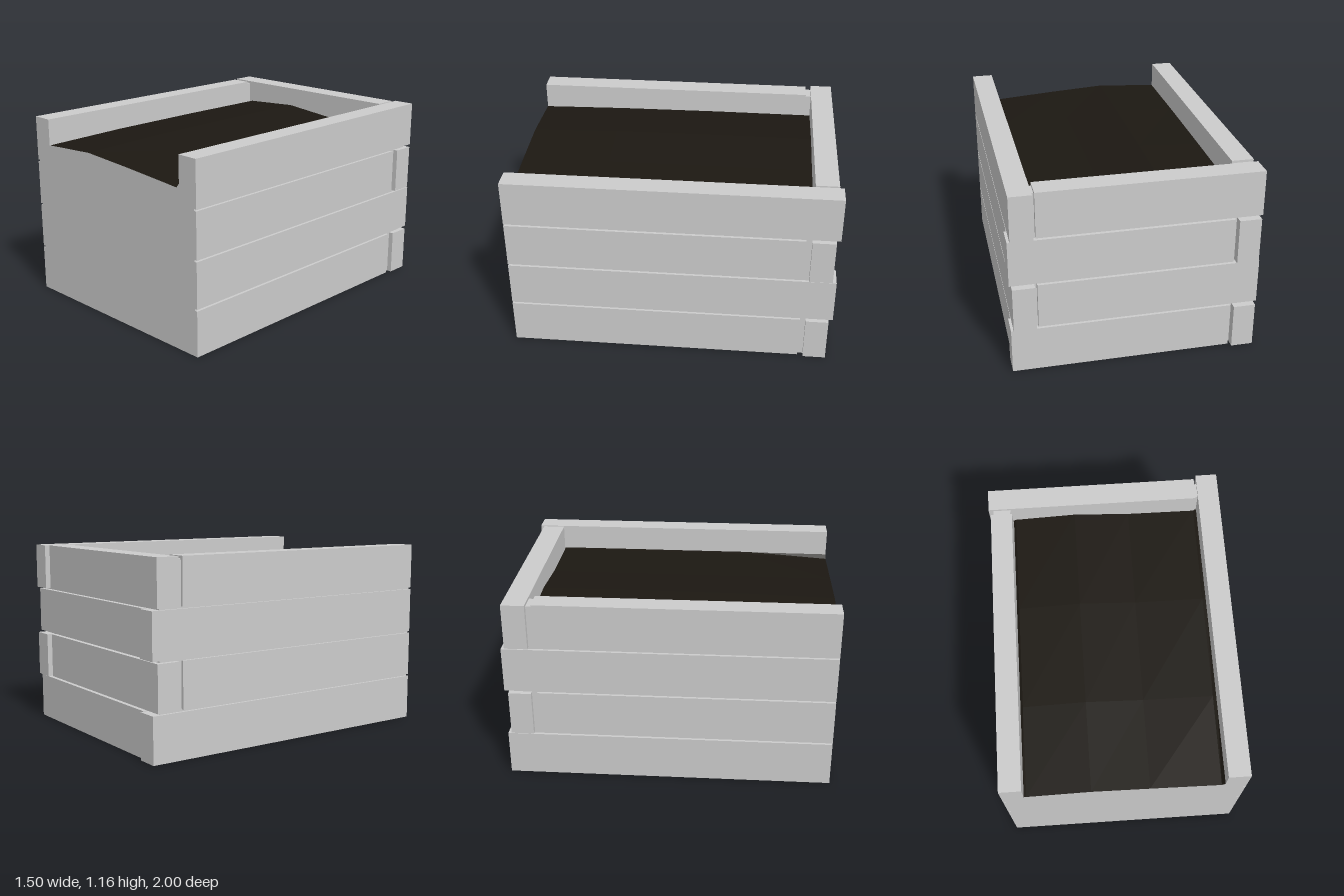
import * as THREE from 'three';

export function createModel() {
  const group = new THREE.Group();
  const timber = new THREE.MeshStandardMaterial({ color: 0xcccccc, flatShading: true });
  const earth = new THREE.MeshStandardMaterial({ color: 0x1c1812, flatShading: true, side: THREE.DoubleSide });

  // Box given by its limits; the x limits may come in either order
  function box(name, xa, xb, y0, y1, z0, z1) {
    const mesh = new THREE.Mesh(new THREE.BoxGeometry(Math.abs(xb - xa), y1 - y0, z1 - z0), timber);
    mesh.position.set((xa + xb) / 2, (y0 + y1) / 2, (z0 + z1) / 2);
    mesh.name = name;
    group.add(mesh);
  }

  // Four courses of sleepers, the corner overlap swapping sides each course
  const height = 0.281, pitch = 0.293;
  for (let row = 0; row < 4; row++) {
    const s = row % 2 ? 1 : -1;
    const y0 = row * pitch, y1 = y0 + height;
    box('longSideSleeper', s * 0.6, s * 0.734, y0, y1, -1, 1);
    box('shortSideSleeper', -s * 0.6, -s * 0.734, y0, y1, -0.8, 1);
    box('backSleeper', -s * 0.748, s * 0.585, y0, y1, -0.975, -0.835);
  }

  // Solid core, set back behind the joints, with liner walls up to the rim
  box('core', -0.717, 0.717, 0, 0.9, -0.945, 1);
  for (const s of [-1, 1]) box('sideLiner', s * 0.61, s * 0.717, 0.9, 1.145, -0.945, 0.99);
  box('backLiner', -0.717, 0.717, 0.9, 1.145, -0.945, -0.85);

  // Soil heights across the bed: front edge and farther back
  const xs = [-0.602, -0.585, -0.2, 0.15, 0.58, 0.602];
  const front = [0.993, 0.996, 1.02, 1.0, 0.97, 0.998];
  const back = [1.003, 1.015, 1.038, 1.003, 0.998, 1.0];
  const zs = [-0.84, -0.2, 0.45, 1];
  const rise = [0.9, 1, 0.8, 0];
  const soil = new THREE.PlaneGeometry(1, 1, xs.length - 1, zs.length - 1);
  const pos = soil.attributes.position;
  for (let j = 0; j < zs.length; j++) {
    for (let i = 0; i < xs.length; i++) {
      pos.setXYZ(j * xs.length + i, xs[i], THREE.MathUtils.lerp(front[i], back[i], rise[j]), zs[j]);
    }
  }
  soil.computeVertexNormals();
  const soilMesh = new THREE.Mesh(soil, earth);
  soilMesh.name = 'soil';
  group.add(soilMesh);

  // Flat front panel closing the bed below the soil line
  const outline = new THREE.Shape([
    new THREE.Vector2(-0.602, 0.9),
    new THREE.Vector2(0.602, 0.9),
    ...xs.map((x, i) => new THREE.Vector2(x, front[i])).reverse(),
  ]);
  const panel = new THREE.Mesh(new THREE.ShapeGeometry(outline), timber);
  panel.position.z = 1;
  panel.name = 'frontPanel';
  group.add(panel);

  return group;
}
